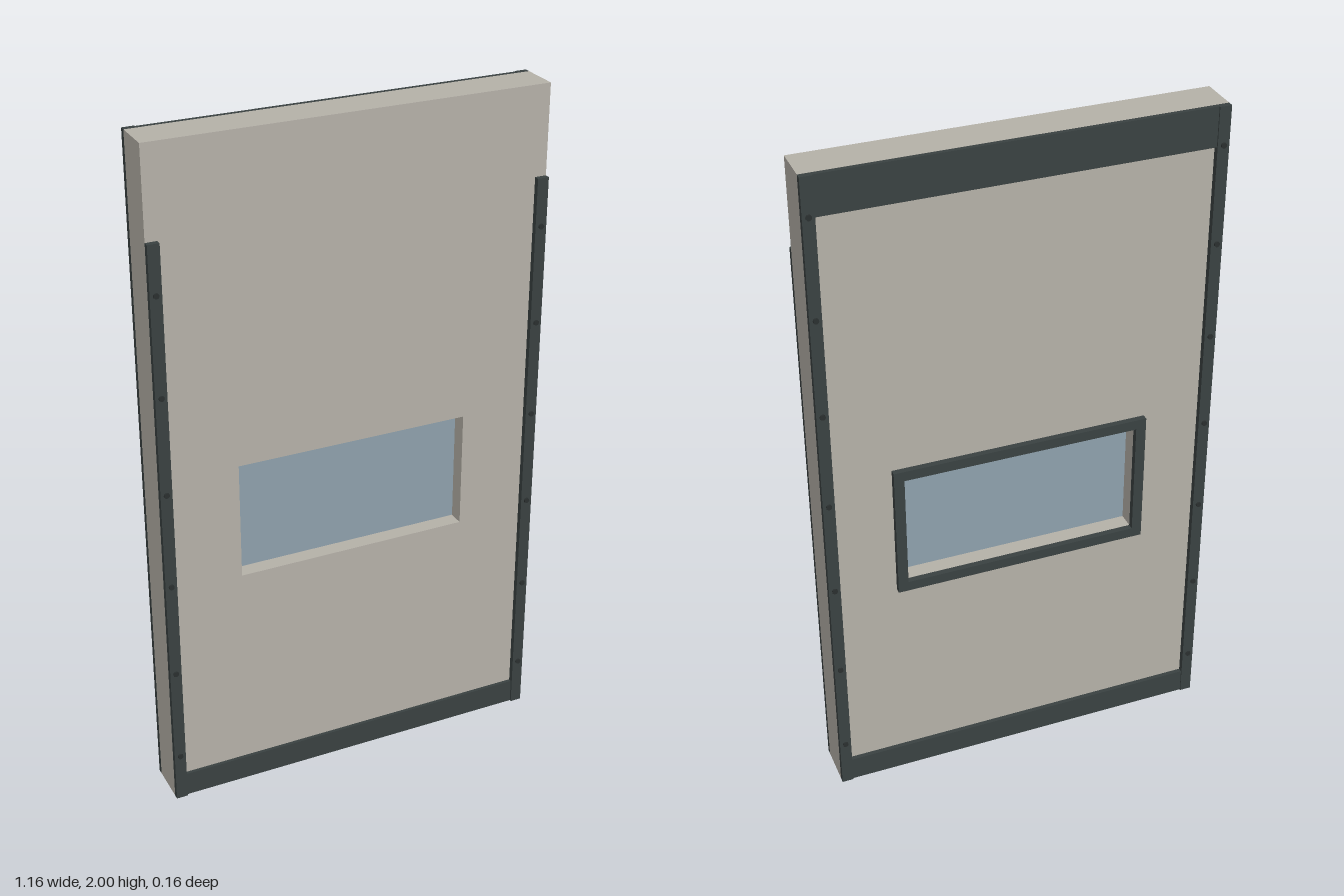
import * as THREE from 'three';

export function createModel() {
  const model = new THREE.Group();
  model.name = 'windowedPanel';
  const mat = (name, color) => {
    const m = new THREE.MeshStandardMaterial({ color });
    m.name = name;
    return m;
  };
  const panelMat = mat('warmGrey', 0xb7b3aa);
  const metalMat = mat('darkMetal', 0x3a4242);
  const boltMat = mat('boltMetal', 0x2b3030);
  const glassMat = mat('blueGlass', 0x90a2ae);

  const W = 0.58, H = 2;
  const FRONT = 0.057, BACK = -0.058;
  const win = { x: 0.347, y0: 0.70, y1: 1.05 };

  const add = (name, geometry, material) => {
    const mesh = new THREE.Mesh(geometry, material);
    mesh.name = name;
    model.add(mesh);
    return mesh;
  };
  // Box given by its extents
  const block = (name, x0, x1, y0, y1, z0, z1, material) =>
    add(name, new THREE.BoxGeometry(x1 - x0, y1 - y0, z1 - z0), material)
      .position.set((x0 + x1) / 2, (y0 + y1) / 2, (z0 + z1) / 2);
  const corners = (x, y0, y1) => [[-x, y0], [x, y0], [x, y1], [-x, y1]]
    .map(p => new THREE.Vector2(...p));
  // Rectangular slab with the window cut out
  const slab = (name, x, y0, y1, z0, z1, material) => {
    const shape = new THREE.Shape(corners(x, y0, y1));
    shape.holes.push(new THREE.Path(corners(win.x, win.y0, win.y1).reverse()));
    const geo = new THREE.ExtrudeGeometry(shape, { depth: z1 - z0, bevelEnabled: false });
    add(name, geo.translate(0, 0, z0), material);
  };

  // Main panel, glazing and rear window frame
  slab('panel', W, 0, H, BACK, FRONT, panelMat);
  block('windowGlass', -win.x, win.x, win.y0, win.y1, -0.01, 0.01, glassMat);
  slab('windowFrame', 0.377, win.y0 - 0.03, win.y1 + 0.03, -0.076, BACK, metalMat);

  // Horizontal edge strips
  block('frontKickStrip', -W, W, 0, 0.074, FRONT, 0.067, metalMat);
  block('backKickStrip', -W, W, 0, 0.076, -0.071, BACK, metalMat);
  block('backTopStrip', -W, W, H - 0.115, H, -0.071, BACK, metalMat);

  // Vertical edge strips with bolts on both faces
  const boltGeo = new THREE.CylinderGeometry(0.008, 0.008, 0.006, 12).rotateX(Math.PI / 2);
  for (const s of [-1, 1]) {
    const side = s > 0 ? 'left' : 'right';
    const x0 = Math.min(s * 0.546, s * W), x1 = Math.max(s * 0.546, s * W);
    block(side + 'FrontStrip', x0, x1, 0, 1.74, FRONT, 0.073, metalMat);
    block(side + 'BackStrip', x0, x1, 0, H, -0.075, BACK, metalMat);
    for (let i = 0; i < 7; i++) {
      const y = 0.15 + i * 0.29;
      if (i < 6) add(side + 'FrontBolt', boltGeo, boltMat).position.set(s * 0.563, y, 0.075);
      add(side + 'BackBolt', boltGeo, boltMat).position.set(s * 0.563, y, -0.077);
    }
  }
  return model;
}
